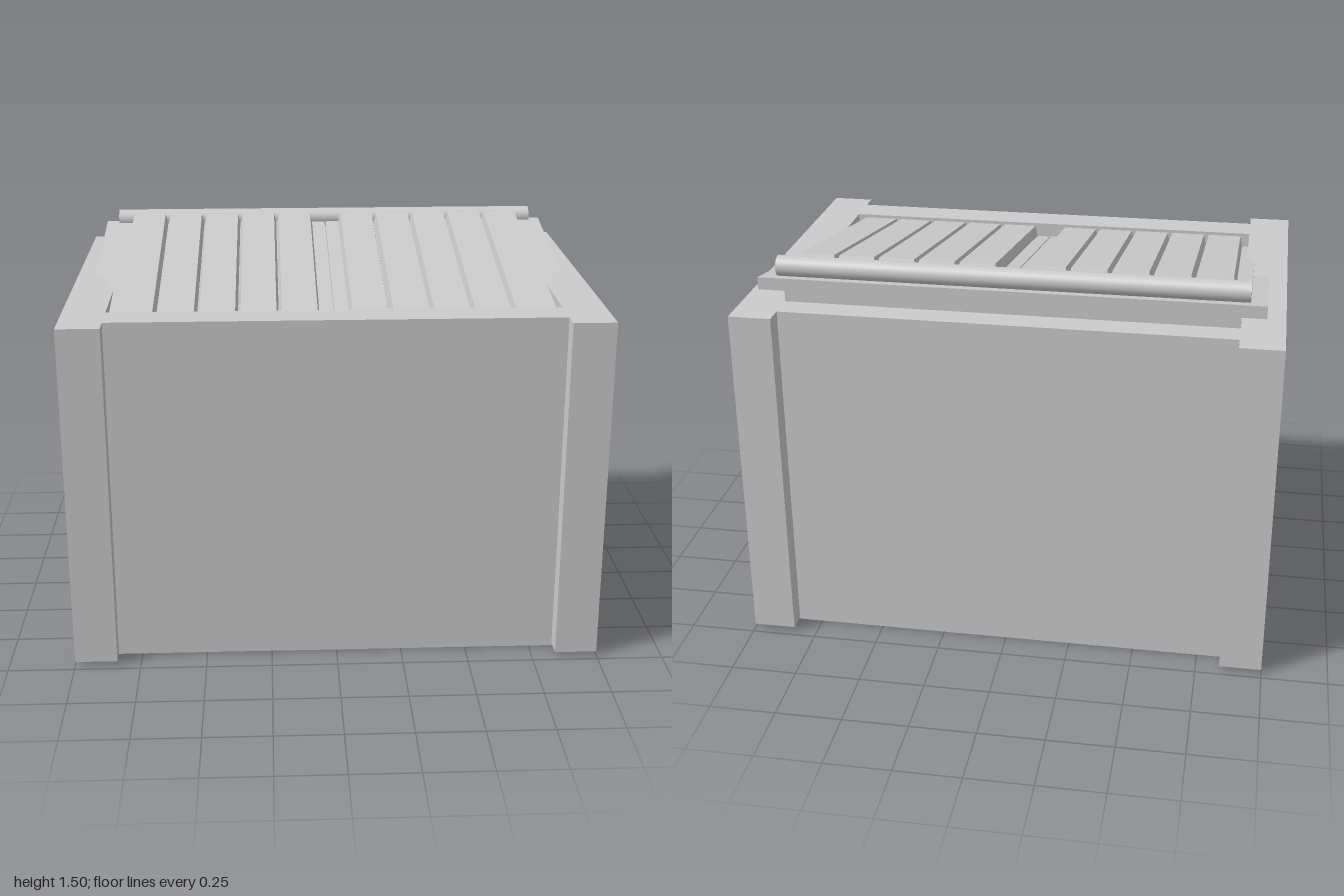
import * as THREE from 'three';

const SLOPE = Math.tan(Math.PI / 18); // the lid leans by ten degrees
const RIM = 1.335;                    // height of the rim

export function createModel() {
  const model = new THREE.Group();
  const mat = new THREE.MeshStandardMaterial({ color: 0xcccccc, flatShading: true });
  const smooth = new THREE.MeshStandardMaterial({ color: 0xcccccc });

  const add = (name, geo, parent = model, m = mat) => {
    const mesh = new THREE.Mesh(geo, m);
    mesh.name = name;
    parent.add(mesh);
    return mesh;
  };
  const polygon = (pts) => new THREE.Shape(pts.map(([a, b]) => new THREE.Vector2(a, b)));

  // Extrudes a [z, y] side profile across x0..x1
  const across = (pts, x0, x1) => {
    const geo = new THREE.ExtrudeGeometry(polygon(pts), { depth: x1 - x0, bevelEnabled: false });
    geo.rotateY(-Math.PI / 2);
    return geo.translate(x1, 0, 0);
  };
  // Height at z of a sloping surface that leaves the rim at z0
  const lean = (z0, z) => RIM + SLOPE * (z0 - z);
  const slab = (top, bottom, front, back, x0, x1) => across([
    [front, lean(bottom, front)], [front, lean(top, front)],
    [back, lean(top, back)], [back, lean(bottom, back)],
  ], x0, x1);

  // Base plate
  add('basePlate', new THREE.BoxGeometry(1.92, 0.02, 1.27).translate(0, 0.01, 0));

  // Body with four corner posts and an open top
  const outline = polygon([
    [-1, -0.72], [-0.84, -0.72], [-0.84, -0.645], [0.84, -0.645], [0.84, -0.72], [1, -0.72],
    [1, 0.72], [0.84, 0.72], [0.84, 0.645], [-0.84, 0.645], [-0.84, 0.72], [-1, 0.72],
  ]);
  outline.holes.push(polygon([[-0.84, -0.51], [-0.84, 0.54], [0.84, 0.54], [0.84, -0.51]]));
  const body = new THREE.ExtrudeGeometry(outline, { depth: RIM - 0.015, bevelEnabled: false });
  add('body', body.rotateX(-Math.PI / 2).translate(0, 0.015, 0));

  // Wedge filling the opening under the lid
  add('innerBin', across([
    [0.51, 1.1], [0.51, lean(-0.27, 0.51)], [-0.54, lean(-0.27, -0.54)], [-0.54, 1.1],
  ], -0.84, 0.84));

  // Sloping frame and the two lid panels with a fine gap between them
  add('lidFrame', slab(0, -0.27, 0.51, -0.57, -0.93, 0.93));
  add('lidPanelLeft', slab(0.19, 0, 0.51, -0.52, 0.002, 0.87));
  add('lidPanelRight', slab(0.19, 0, 0.51, -0.52, -0.87, -0.002));

  // Bevelled slats, five on each panel
  const slats = new THREE.Group();
  slats.name = 'slats';
  slats.position.set(0, RIM, 0.19);
  slats.rotation.x = Math.PI / 18;
  model.add(slats);
  const slatGeo = new THREE.BoxGeometry(0.15, 0.045, 0.985);
  const p = slatGeo.attributes.position;
  for (let i = 0; i < p.count; i++) {
    if (p.getY(i) > 0) {
      p.setX(i, p.getX(i) - Math.sign(p.getX(i)) * 0.009);
      p.setZ(i, p.getZ(i) - Math.sign(p.getZ(i)) * 0.012);
    }
  }
  slatGeo.computeVertexNormals();
  for (const side of [-1, 1]) {
    for (let i = 0; i < 5; i++) {
      add('slat', slatGeo, slats).position.set(side * (0.13 + i * 0.152), 0.0215, -0.1675);
    }
  }

  // Round bar along the raised edge
  const bar = new THREE.CylinderGeometry(0.039, 0.039, 1.74, 32).rotateZ(Math.PI / 2);
  add('hingeBar', bar, model, smooth).position.set(0, 1.461, -0.501);

  return model;
}
